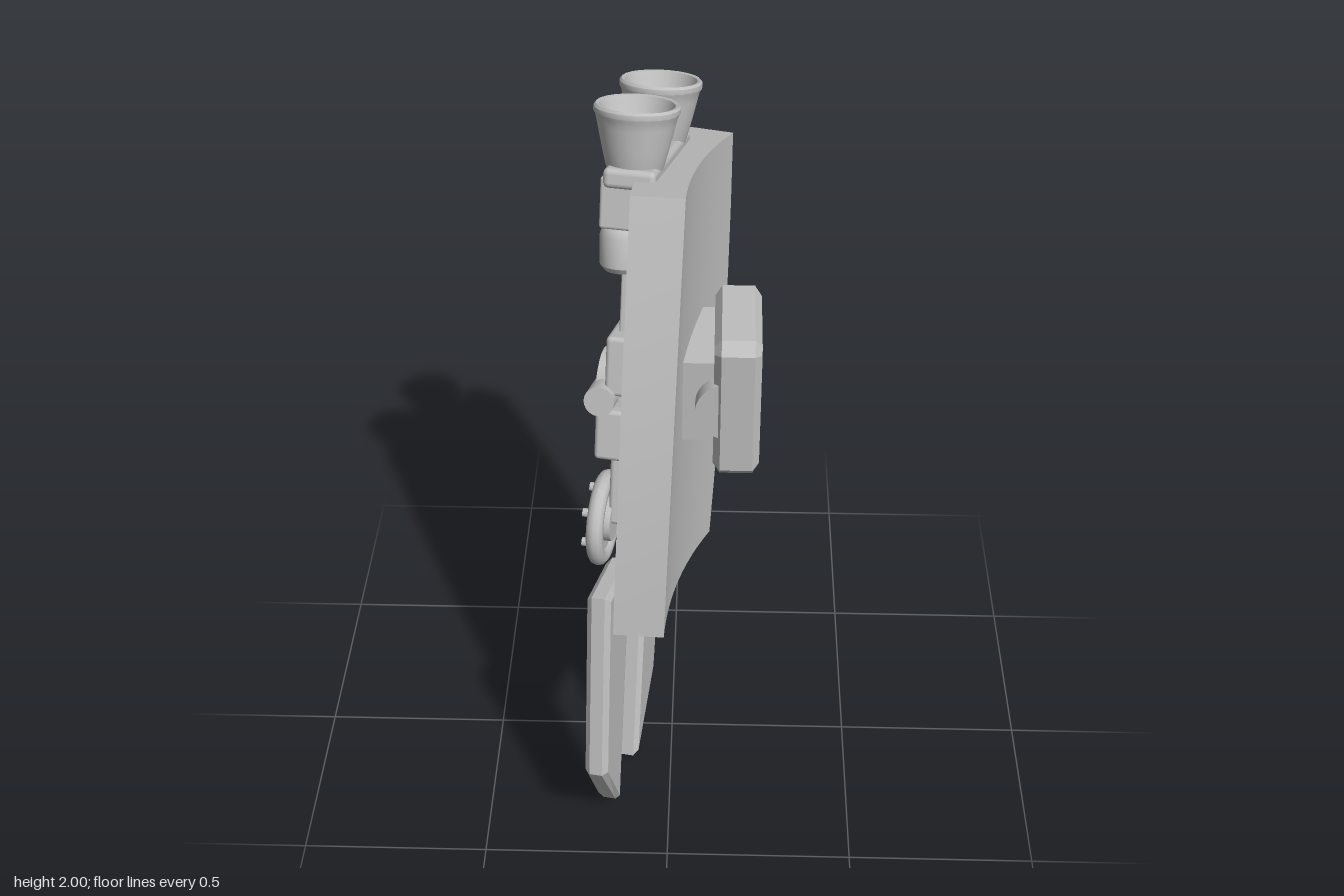
import * as THREE from 'three';
import { RoundedBoxGeometry } from 'three/addons/geometries/RoundedBoxGeometry.js';
import { toCreasedNormals } from 'three/addons/utils/BufferGeometryUtils.js';

const metal = new THREE.MeshStandardMaterial({ color: 0xbebebe });
metal.name = 'plain grey';

function add(parent, name, geometry, x = 0, y = 0, z = 0) {
  const mesh = new THREE.Mesh(geometry, metal);
  mesh.name = name;
  mesh.position.set(x, y, z);
  parent.add(mesh);
  return mesh;
}

// Slab with chamfered rims: outline given as [z, y], thickness along x
function slab(outline, thickness, bevel, inset) {
  const shape = new THREE.Shape(outline.map(([z, y]) => new THREE.Vector2(z, y)));
  const g = new THREE.ExtrudeGeometry(shape, {
    depth: thickness - 2 * bevel, bevelEnabled: true, bevelSegments: 1,
    bevelThickness: bevel, bevelSize: inset, bevelOffset: -inset,
  });
  g.translate(0, 0, bevel - thickness / 2);
  g.rotateY(-Math.PI / 2);
  return g;
}

const softBox = (w, h, d, r = 0.012) => new RoundedBoxGeometry(w, h, d, 2, r);

// Box given by its ranges
function rangeBox(parent, name, [x0, x1], [y0, y1], [z0, z1], r) {
  return add(parent, name, softBox(x1 - x0, y1 - y0, z1 - z0, r),
    (x0 + x1) / 2, (y0 + y1) / 2, (z0 + z1) / 2);
}

function lathe(points, segments = 24) {
  const g = new THREE.LatheGeometry(points.map(([r, y]) => new THREE.Vector2(r, y)), segments);
  return toCreasedNormals(g, 0.6);
}

// Shield plate: bent across its width, barrel shaped along its sides
function plateGeometry() {
  const g = new THREE.BoxGeometry(0.13, 1.16, 0.67, 1, 6, 12);
  const p = g.attributes.position, R = 2.1;
  for (let i = 0; i < p.count; i++) {
    const x = p.getX(i), y = p.getY(i);
    const a = p.getZ(i) * (1 + 0.095 * (1 - (y / 0.58) ** 2)) / R;
    p.setX(i, R - (R - x) * Math.cos(a) - 0.027);
    p.setZ(i, (R - x) * Math.sin(a));
  }
  g.computeVertexNormals();
  return g;
}

function addThruster(parent, side) {
  const t = new THREE.Group();
  t.name = side > 0 ? 'frontThruster' : 'rearThruster';
  t.position.set(-0.098, 0, 0.14 * side);
  parent.add(t);
  // Hollow bell with a rolled rim
  add(t, 'nozzle', lathe([
    [0, 0.585], [0.066, 0.585], [0.072, 0.6], [0.084, 0.65], [0.095, 0.70], [0.1, 0.722], [0.105, 0.73],
    [0.105, 0.742], [0.1, 0.748], [0.092, 0.746], [0.088, 0.735], [0.07, 0.665], [0.035, 0.602], [0, 0.602],
  ]));
  // Feed pump under the bell
  add(t, 'neck', new THREE.CylinderGeometry(0.042, 0.042, 0.15, 20), -0.015, 0.515, 0);
  add(t, 'pump', lathe([
    [0, 0.33], [0.04, 0.33], [0.053, 0.345], [0.056, 0.42], [0.05, 0.44], [0.04, 0.45], [0, 0.45],
  ]), -0.025, 0, 0);
  rangeBox(t, 'valveBox', [-0.07, 0.02], [0.45, 0.58], side > 0 ? [0.02, 0.07] : [-0.07, -0.02], 0.008);
}

export function createModel() {
  const model = new THREE.Group();
  model.name = 'thrusterShield';

  // Tilted body frame: x is the plate normal, y its length, z its width
  const up = new THREE.Vector3(0.039, 0.971, -0.237).normalize();
  const normal = up.clone().cross(new THREE.Vector3(-0.172, 0.239, 0.955)).normalize();
  const across = normal.clone().cross(up);
  const body = new THREE.Group();
  body.name = 'body';
  body.quaternion.setFromRotationMatrix(new THREE.Matrix4().makeBasis(normal, up, across));
  body.position.set(0.005, 1.2175, -0.0325);
  model.add(body);

  add(body, 'shieldPlate', plateGeometry());

  // Fins and thrusters, mirrored front and rear
  for (const side of [1, -1]) {
    const outline = [[0.115, -0.478], [0.352, -0.478], [0.307, -1.033], [0.115, -1.228]];
    add(body, side > 0 ? 'frontFin' : 'rearFin',
      slab(outline.map(([z, y]) => [z * side, y]), 0.062, 0.014, 0.014), -0.105, 0, 0);
    addThruster(body, side);
  }

  // Machinery along the inner face
  rangeBox(body, 'manifold', [-0.16, -0.03], [0.555, 0.605], [-0.225, 0.225], 0.015);
  rangeBox(body, 'manifoldBlock', [-0.145, -0.07], [0.46, 0.58], [-0.07, 0.07]);
  rangeBox(body, 'spine', [-0.125, -0.07], [0.1, 0.48], [-0.06, 0.06]);
  for (const z of [-0.055, 0.055])
    rangeBox(body, 'spineRail', [-0.138, -0.07], [0.12, 0.4], [z - 0.012, z + 0.012], 0.006);
  rangeBox(body, 'upperHousing', [-0.16, -0.07], [-0.02, 0.14], [-0.12, 0.12]);
  rangeBox(body, 'middleHousing', [-0.15, -0.07], [-0.08, 0.02], [-0.085, 0.085]);
  rangeBox(body, 'lowerHousing', [-0.182, -0.07], [-0.2, -0.06], [-0.12, 0.12]);
  rangeBox(body, 'stem', [-0.155, -0.07], [-0.42, -0.18], [-0.04, 0.04]);

  const dial = add(body, 'dial', new THREE.CylinderGeometry(0.085, 0.085, 0.1, 28), -0.14, -0.02, 0);
  dial.rotation.z = Math.PI / 2;
  const bar = add(body, 'crossBar', new THREE.CylinderGeometry(0.04, 0.04, 0.28, 20), -0.168, -0.03, 0);
  bar.rotation.x = Math.PI / 2;

  // Hand wheel with a ring of bolts
  const wheel = new THREE.Group();
  wheel.name = 'handWheel';
  wheel.position.set(-0.175, -0.42, 0);
  wheel.rotation.y = -Math.PI / 2;
  body.add(wheel);
  add(wheel, 'wheelRim', new THREE.TorusGeometry(0.108, 0.023, 10, 32));
  const web = add(wheel, 'wheelWeb', new THREE.CylinderGeometry(0.1, 0.1, 0.02, 28));
  const hub = add(wheel, 'wheelHub', new THREE.CylinderGeometry(0.062, 0.062, 0.06, 24));
  web.rotation.x = hub.rotation.x = Math.PI / 2;
  for (let i = 0; i < 6; i++) {
    const a = (i + 0.5) * Math.PI / 3;
    const bolt = add(wheel, 'wheelBolt', new THREE.CylinderGeometry(0.012, 0.012, 0.05, 10),
      0.086 * Math.cos(a), 0.086 * Math.sin(a), 0.015);
    bolt.rotation.x = Math.PI / 2;
  }

  // Upright pad on the outer face, with its hinge
  const w = 0.158, h = 0.207, c = 0.03;
  const pad = [[-w + c, -h], [w - c, -h], [w, -h + c], [w, h - c], [w - c, h], [-w + c, h], [-w, h - c], [-w, -h + c]];
  add(model, 'pad', slab(pad, 0.12, 0.018, 0.025), 0.167, 1.217, -0.037);
  add(model, 'padMount', new THREE.BoxGeometry(0.09, 0.24, 0.26), 0.07, 1.22, -0.06);
  const hinge = add(model, 'padHinge', new THREE.CylinderGeometry(0.085, 0.085, 0.3, 28, 1, false, Math.PI, Math.PI),
    0.145, 1.22, -0.037);
  hinge.rotation.x = Math.PI / 2;

  return model;
}
